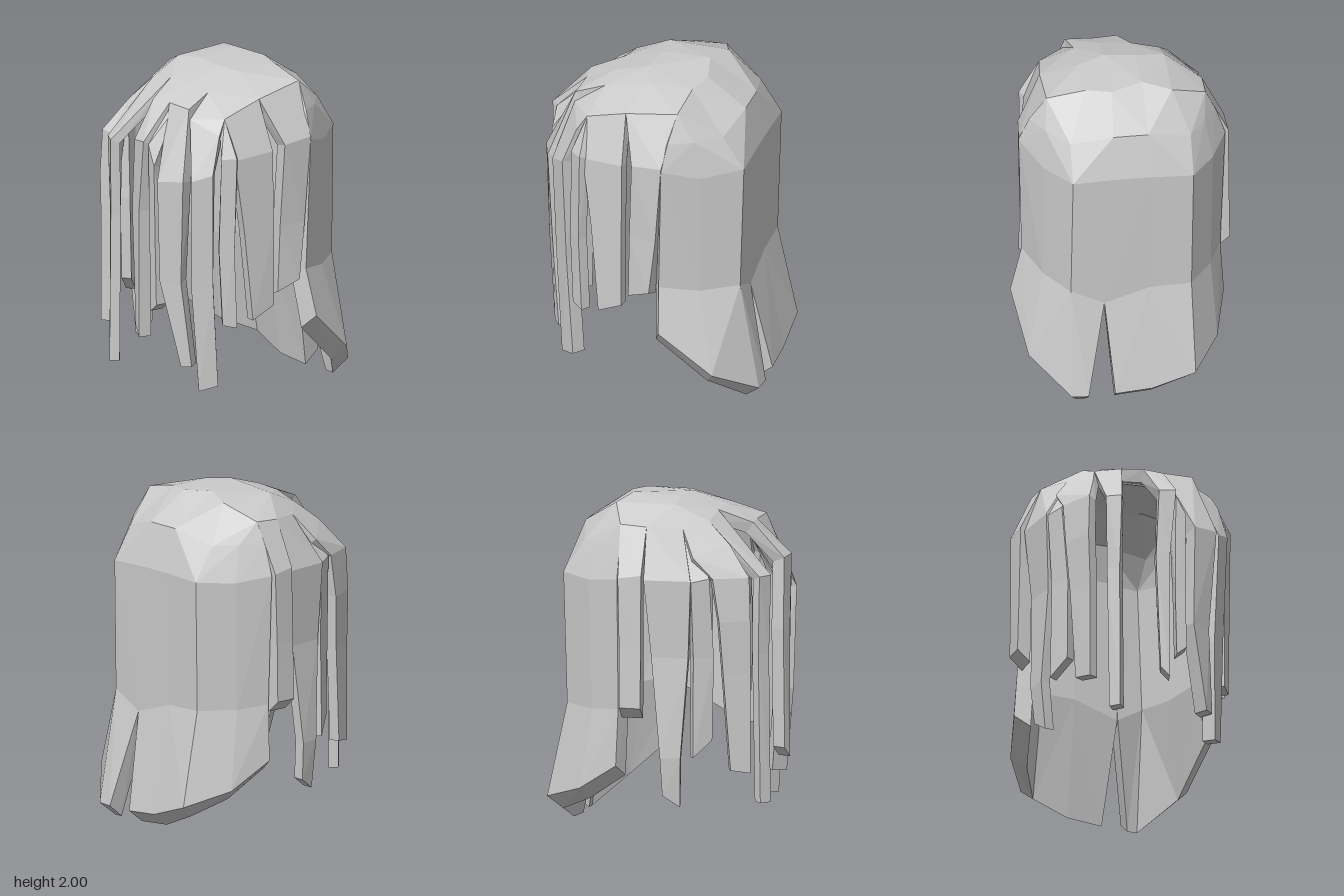
import * as THREE from 'three';

const material = new THREE.MeshStandardMaterial({ color: 0xcccccc, flatShading: true, side: THREE.DoubleSide });

// Closed slab from a grid of outer points. Rows run from the crown down,
// columns run left to right as seen from outside; depth goes inward and
// drop lowers the inner rim of the last row.
function slab(name, grid, depth, drop) {
  const outer = grid.map(row => row.map(p => new THREE.Vector3(...p)));
  const R = outer.length, C = outer[0].length;
  const normals = outer.map(row => row.map(() => new THREE.Vector3()));
  for (let r = 0; r < R - 1; r++) for (let c = 0; c < C - 1; c++) {
    const d1 = outer[r + 1][c + 1].clone().sub(outer[r][c]);
    const d2 = outer[r][c + 1].clone().sub(outer[r + 1][c]);
    const n = d1.cross(d2).normalize();
    for (const [i, j] of [[r, c], [r + 1, c], [r, c + 1], [r + 1, c + 1]]) normals[i][j].add(n);
  }
  const inner = outer.map((row, r) => row.map((p, c) => p.clone().addScaledVector(normals[r][c].normalize(), -depth)));
  for (const p of inner[R - 1]) p.y -= drop;

  const pos = [];
  const tri = (...points) => { for (const p of points) pos.push(p.x, p.y, p.z); };
  // Each quad folds along the diagonal that bulges toward its outside (or inside for sign -1)
  const quad = (a, b, c, d, sign = 1) => {
    const n = b.clone().sub(a).cross(c.clone().sub(a));
    if (n.dot(d.clone().sub(a)) * sign <= 0) { tri(a, b, c); tri(a, c, d); }
    else { tri(a, b, d); tri(b, c, d); }
  };
  for (let r = 0; r < R - 1; r++) {
    for (let c = 0; c < C - 1; c++) {
      quad(outer[r][c], outer[r + 1][c], outer[r + 1][c + 1], outer[r][c + 1]);
      quad(inner[r][c], inner[r][c + 1], inner[r + 1][c + 1], inner[r + 1][c], -1);
    }
    quad(outer[r][0], inner[r][0], inner[r + 1][0], outer[r + 1][0]);
    quad(outer[r][C - 1], outer[r + 1][C - 1], inner[r + 1][C - 1], inner[r][C - 1]);
  }
  for (let c = 0; c < C - 1; c++) {
    quad(outer[0][c], outer[0][c + 1], inner[0][c + 1], inner[0][c]);
    quad(outer[R - 1][c], inner[R - 1][c], inner[R - 1][c + 1], outer[R - 1][c + 1]);
  }
  const geometry = new THREE.BufferGeometry();
  geometry.setAttribute('position', new THREE.Float32BufferAttribute(pos, 3));
  geometry.computeVertexNormals();
  const mesh = new THREE.Mesh(geometry, material);
  mesh.name = name;
  return mesh;
}

export function createModel() {
  const hair = new THREE.Group();
  hair.name = 'hair';
  const add = (name, grid, depth = 0.08, drop = 0) => hair.add(slab(name, grid, depth, drop));

  // Crown, back row to front row
  const crownBack = [[-.51, 1.88, -.21], [-.30, 1.97, -.29], [-.13, 2, -.23], [.06, 1.98, -.28], [.21, 1.97, -.23], [.44, 1.92, -.21]];
  add('crown', [
    crownBack,
    [[-.51, 1.87, -.05], [-.30, 1.97, .08], [-.13, 1.99, .06], [.06, 1.99, .09], [.21, 1.97, .04], [.44, 1.87, .11]],
    [[-.42, 1.85, .15], [-.30, 1.88, .28], [-.13, 1.92, .29], [.06, 1.92, .31], [.21, 1.90, .31], [.41, 1.79, .36]],
  ], 0.09);

  // Back of the head, in two halves that part below the waist into flared tails
  const [b0, b1, b2, b3, b4, b5] = crownBack;
  const seam = [b3, [.08, 1.82, -.52], [.10, 1.56, -.59], [.14, .66, -.57]];
  add('backLeft', [
    [b5, b5, b4, seam[0]],
    [[.54, 1.76, -.18], [.46, 1.76, -.32], [.33, 1.75, -.46], seam[1]],
    [[.60, 1.6, -.16], [.48, 1.53, -.37], [.33, 1.55, -.59], seam[2]],
    [[.58, .8, -.14], [.48, .76, -.36], [.34, .76, -.57], seam[3]],
    [[.65, .52, -.16], [.58, .25, -.47], [.35, .08, -.69], [.25, .08, -.70]],
  ], 0.1, 0.06);
  add('backRight', [
    [seam[0], b2, b1, b0, b0],
    [seam[1], [-.13, 1.82, -.52], [-.39, 1.75, -.46], [-.49, 1.76, -.33], [-.57, 1.75, -.2]],
    [seam[2], [-.13, 1.56, -.59], [-.39, 1.55, -.59], [-.53, 1.54, -.40], [-.63, 1.57, -.2]],
    [seam[3], [-.13, .75, -.57], [-.38, .76, -.57], [-.52, .76, -.38], [-.60, .78, -.2]],
    [[.09, .08, -.69], [-.13, .10, -.69], [-.39, .19, -.69], [-.55, .28, -.45], [-.62, .44, -.21]],
  ], 0.1, 0.06);

  // Locks on the right side
  add('rightSideLock', [
    [[-.51, 1.88, -.21], [-.51, 1.87, -.05]],
    [[-.65, 1.58, -.19], [-.64, 1.6, -.05]],
    [[-.655, 1.15, -.18], [-.65, 1.15, -.05]],
    [[-.66, .80, -.18], [-.66, .80, -.05]],
  ], 0.08, 0.07);
  add('rightLongLock', [
    [[-.51, 1.87, -.05], [-.42, 1.85, .15]],
    [[-.62, 1.57, -.04], [-.59, 1.57, .24]],
    [[-.59, 1.1, 0], [-.57, 1.1, .22]],
    [[-.62, .5, .06], [-.60, .5, .18]],
    [[-.60, .27, .07], [-.57, .2, .17]],
  ], 0.06);
  add('rightShortLock', [
    [[-.46, 1.78, .15], [-.42, 1.8, .2]],
    [[-.58, 1.56, .24], [-.53, 1.58, .34]],
    [[-.56, 1.1, .25], [-.50, 1.1, .36]],
    [[-.57, .50, .25], [-.50, .6, .35]],
  ], 0.06);

  // Front locks, right to left
  add('frontLock1', [
    [[-.42, 1.85, .15], [-.30, 1.88, .28]],
    [[-.53, 1.7, .24], [-.36, 1.76, .42]],
    [[-.53, 1.58, .36], [-.44, 1.58, .56]],
    [[-.53, 1.32, .40], [-.45, 1.32, .57]],
    [[-.51, 1, .42], [-.44, 1, .57]],
    [[-.49, .42, .46], [-.44, .4, .57]],
  ], 0.06);
  add('frontLock2', [
    [[-.30, 1.88, .28], [-.13, 1.92, .29]],
    [[-.35, 1.57, .60], [-.27, 1.57, .65]],
    [[-.34, 1.1, .59], [-.28, 1.1, .64]],
    [[-.33, .2, .60], [-.28, .2, .65]],
  ], 0.06);
  add('frontLock3', [
    [[-.13, 1.92, .29], [.06, 1.92, .31]],
    [[-.07, 1.84, .49], [.06, 1.84, .48]],
    [[-.04, 1.63, .67], [.06, 1.64, .69]],
    [[-.06, 1.2, .67], [.02, 1.2, .69]],
    [[-.03, .48, .67], [.02, .42, .69]],
  ]);
  add('frontLock4', [
    [[.05, 1.83, .46], [.1, 1.82, .46]],
    [[.07, 1.62, .66], [.13, 1.5, .67]],
    [[.07, 1, .65], [.13, 1, .66]],
    [[.08, .59, .65], [.14, .64, .66]],
  ]);
  add('frontLock5', [
    [[.06, 1.92, .31], [.21, 1.9, .31]],
    [[.06, 1.84, .48], [.24, 1.84, .49]],
    [[.18, 1.42, .69], [.34, 1.44, .63]],
    [[.18, .8, .67], [.30, .8, .61]],
    [[.29, .28, .60], [.34, .28, .56]],
  ], 0.09);
  add('frontLock6', [
    [[.21, 1.9, .31], [.41, 1.79, .36]],
    [[.25, 1.78, .49], [.43, 1.70, .42]],
    [[.37, 1.44, .59], [.46, 1.48, .50]],
    [[.35, .75, .57], [.44, .8, .48]],
    [[.37, .13, .53], [.44, .16, .44]],
  ], 0.08);
  add('frontLock7', [
    [[.36, 1.8, .36], [.41, 1.79, .36]],
    [[.47, 1.57, .44], [.53, 1.57, .37]],
    [[.46, 1, .45], [.52, 1, .38]],
    [[.47, .54, .43], [.52, .52, .36]],
  ], 0.06);

  // Locks on the left side
  add('leftShortLock', [
    [[.41, 1.79, .36], [.44, 1.87, .11]],
    [[.50, 1.55, .36], [.55, 1.57, .10]],
    [[.52, 1.1, .30], [.56, 1.1, .10]],
    [[.54, .55, .25], [.56, .62, .10]],
  ], 0.06);
  add('leftSideLock', [
    [[.44, 1.87, .11], [.44, 1.92, -.21]],
    [[.58, 1.6, .03], [.60, 1.62, -.16]],
    [[.56, 1.1, .05], [.59, 1.1, -.12]],
    [[.55, .69, .06], [.59, .75, -.08]],
  ], 0.08, 0.03);

  return hair;
}
